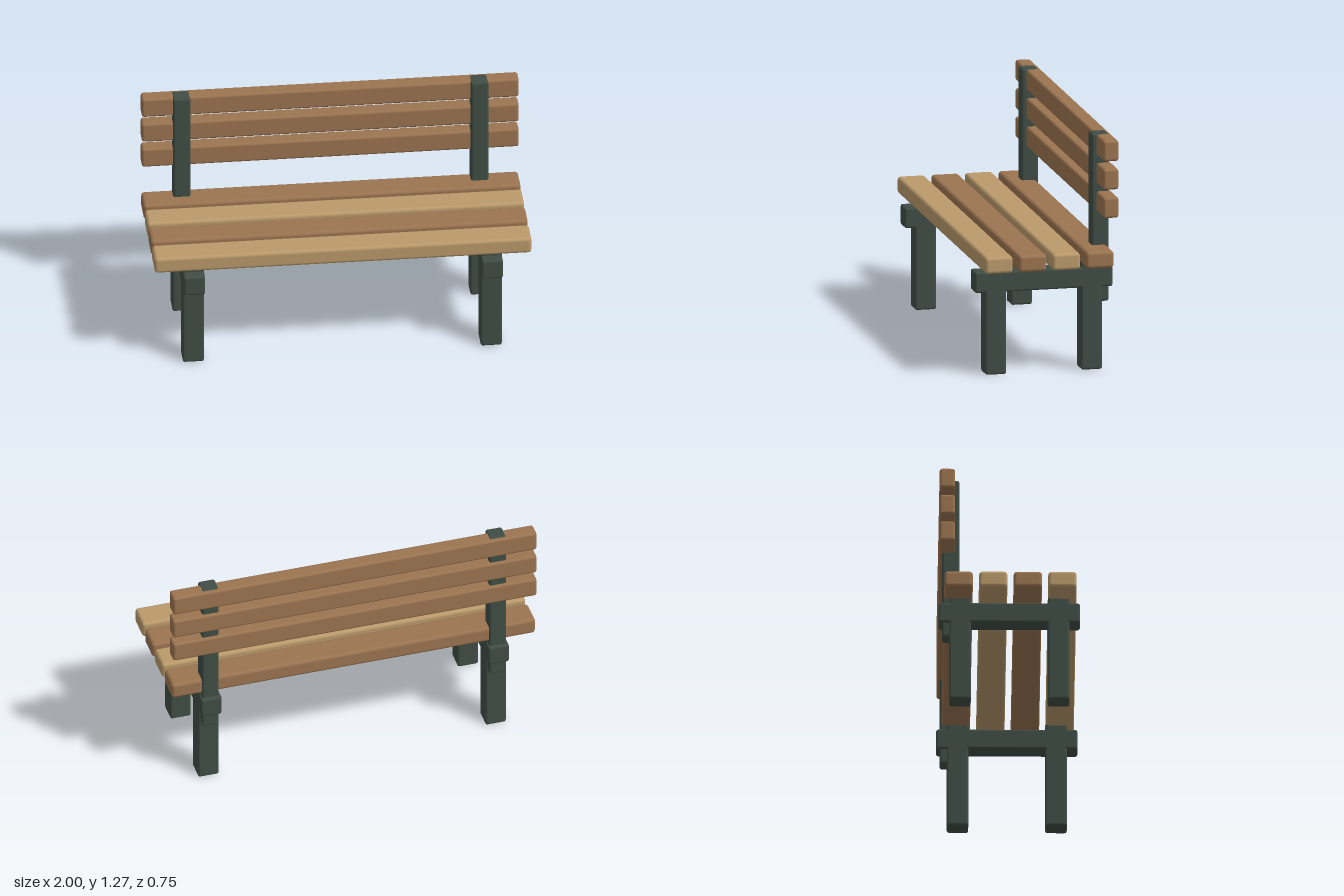
import * as THREE from 'three';
import { RoundedBoxGeometry } from 'three/addons/geometries/RoundedBoxGeometry.js';

function material(name, color) {
  const m = new THREE.MeshStandardMaterial({ color });
  m.name = name;
  return m;
}

export function createModel() {
  const bench = new THREE.Group();
  bench.name = 'bench';
  const darkWood = material('dark wood', 0x9b7450);
  const lightWood = material('light wood', 0xba9a6b);
  const greenMetal = material('dark green metal', 0x404d45);

  // Softly bevelled bar given by its extents in y and z
  function bar(parent, name, mat, x, width, y0, y1, z0, z1, radius) {
    const geometry = new RoundedBoxGeometry(width, y1 - y0, z1 - z0, 2, radius);
    const mesh = new THREE.Mesh(geometry, mat);
    mesh.name = name;
    mesh.position.set(x, (y0 + y1) / 2, (z0 + z1) / 2);
    parent.add(mesh);
  }

  // Seat slats, alternating light and dark from the front
  for (let i = 0; i < 4; i++) {
    const z = 0.279 - i * 0.1825;
    bar(bench, 'seatSlat' + (i + 1), i % 2 ? darkWood : lightWood,
      0, 2, 0.58, 0.671, z - 0.075, z + 0.075, 0.018);
  }

  // Backrest slats, fixed behind the posts
  for (let i = 0; i < 3; i++) {
    const y = 0.905 + i * 0.1535;
    bar(bench, 'backSlat' + (i + 1), darkWood,
      0, 2, y - 0.056, y + 0.056, -0.369, -0.287, 0.014);
  }

  // Mirrored end frames: legs, seat rail and back post
  for (const side of [-1, 1]) {
    const frame = new THREE.Group();
    frame.name = side > 0 ? 'leftFrame' : 'rightFrame';
    frame.position.x = side * 0.79;
    bar(frame, 'frontLeg', greenMetal, 0, 0.113, 0, 0.595, 0.203, 0.317, 0.012);
    bar(frame, 'rearLeg', greenMetal, 0, 0.113, 0, 0.595, -0.317, -0.203, 0.012);
    bar(frame, 'seatRail', greenMetal, 0, 0.113, 0.445, 0.557, -0.373, 0.373, 0.012);
    bar(frame, 'backPost', greenMetal, 0, 0.092, 0.364, 1.272, -0.354, -0.263, 0.012);
    bench.add(frame);
  }
  return bench;
}
